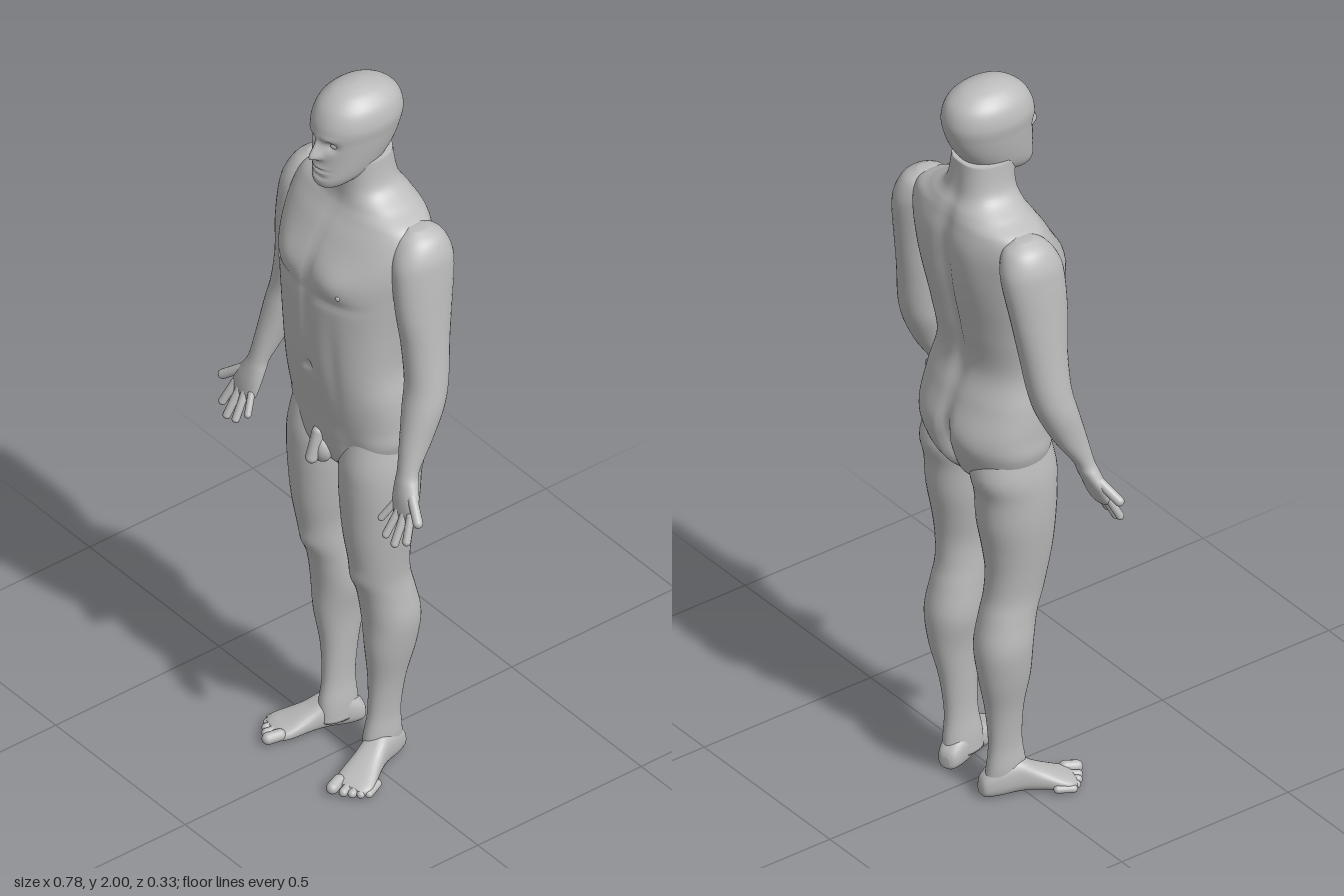
import * as THREE from 'three';

const skin = new THREE.MeshStandardMaterial({ color: 0xbcbcbc });
skin.name = 'plain grey';

const bump = (v, centre, width) => Math.exp(-(((v - centre) / width) ** 2));

function cubic(a, b, c, d, t) {
  return b + 0.5 * t * (c - a + t * (2 * a - 5 * b + 4 * c - d + t * (3 * (b - c) + d - a)));
}

// Skin a closed body over horizontal rings. Row: [y, centreX, halfWidth, zFront, zBack], rising in y.
function loft(rows, { side = 1, seg = 40, steps = 5, power = 0.95, shape = null } = {}) {
  const pos = [], index = [], last = rows.length - 1;
  const row = (i) => rows[Math.min(Math.max(i, 0), last)];
  const rings = last * steps + 1;
  const round = (v) => Math.sign(v) * Math.abs(v) ** power;
  let first, end;
  for (let r = 0; r < rings; r++) {
    const i = Math.min(Math.floor(r / steps), last - 1), t = r / steps - i;
    const [y, cx, rx, zf, zb] = row(i).map((v, k) => cubic(row(i - 1)[k], v, row(i + 1)[k], row(i + 2)[k], t));
    const cz = (zf + zb) / 2, rz = (zf - zb) / 2;
    if (r === 0) first = [cx * side, y, cz];
    end = [cx * side, y, cz];
    for (let j = 0; j < seg; j++) {
      const a = (j / seg) * Math.PI * 2, c = Math.cos(a), s = Math.sin(a);
      const x = cx * side + rx * round(c);
      const z = cz + rz * round(s);
      pos.push(x, y, z + (shape ? shape(x, y, s) : 0));
      if (r < rings - 1) {
        const p = r * seg + j, q = r * seg + ((j + 1) % seg);
        index.push(p, p + seg, q, q, p + seg, q + seg);
      }
    }
  }
  const n = rings * seg;
  pos.push(...first, ...end);
  for (let j = 0; j < seg; j++) {
    const k = (j + 1) % seg;
    index.push(n, j, k, n + 1, n - seg + k, n - seg + j);
  }
  const g = new THREE.BufferGeometry();
  g.setAttribute('position', new THREE.Float32BufferAttribute(pos, 3));
  g.setIndex(index);
  g.computeVertexNormals();
  return g;
}

function add(parent, name, geometry) {
  const m = new THREE.Mesh(geometry, skin);
  m.name = name;
  parent.add(m);
  return m;
}

// Rounded rod whose ends reach the two points
function digit(parent, name, from, to, r) {
  const a = new THREE.Vector3(...from), b = new THREE.Vector3(...to), d = b.clone().sub(a);
  const m = add(parent, name, new THREE.CapsuleGeometry(r, Math.max(d.length() - 2 * r, 0.001), 6, 14));
  m.position.copy(a).lerp(b, 0.5);
  m.quaternion.setFromUnitVectors(new THREE.Vector3(0, 1, 0), d.normalize());
  return m;
}

function ellipsoid(parent, name, p, s) {
  const m = add(parent, name, new THREE.SphereGeometry(1, 24, 16));
  m.position.set(...p);
  m.scale.set(...s);
  return m;
}

// Muscle relief of the trunk
function torsoRelief(x, y, s) {
  const ax = Math.abs(x);
  if (s > 0) {
    return s * (0.014 * bump(ax, 0.09, 0.065) * bump(y, 1.5, 0.045)
      - 0.006 * bump(y, 1.445, 0.014) * bump(ax, 0.09, 0.07)
      - 0.007 * bump(x, 0, 0.014) * bump(y, 1.42, 0.17)
      - 0.012 * bump(x, 0, 0.012) * bump(y, 1.21, 0.012)
      - 0.005 * bump(ax, 0.085, 0.02) * bump(y, 1.25, 0.12)
      - 0.008 * bump(ax, 0.11, 0.04) * bump(y, 1.0, 0.05));
  }
  return -s * (0.018 * bump(x, 0, 0.024) * bump(y, 1.42, 0.24)
    + 0.04 * bump(x, 0, 0.016) * bump(y, 0.99, 0.08)
    - 0.006 * bump(ax, 0.085, 0.05) * bump(y, 1.03, 0.06)
    - 0.006 * bump(ax, 0.1, 0.05) * bump(y, 1.56, 0.09));
}

// Brow, eye sockets, nose, lips and chin
function faceRelief(x, y, s) {
  if (s <= 0) return 0;
  const ax = Math.abs(x);
  const nose = y > 1.832 ? bump(y, 1.832, 0.036) : bump(y, 1.832, 0.009);
  return 0.028 * nose * bump(x, 0, 0.008 + 0.006 * bump(y, 1.832, 0.015))
    - 0.016 * bump(ax, 0.031, 0.017) * bump(y, 1.867, 0.014)
    + 0.004 * bump(y, 1.89, 0.01) * bump(ax, 0.03, 0.025)
    + 0.006 * bump(y, 1.793, 0.012) * bump(x, 0, 0.025)
    - 0.008 * bump(y, 1.793, 0.003) * bump(x, 0, 0.026)
    - 0.005 * bump(y, 1.773, 0.007) * bump(x, 0, 0.025);
}

function buildArm(parent, side) {
  const arm = new THREE.Group();
  arm.name = side > 0 ? 'leftArm' : 'rightArm';
  parent.add(arm);
  // Shoulder, upper arm, forearm and palm
  add(arm, 'armAndPalm', loft([
    [0.912, 0.308, 0.032, 0.088, 0.068], [0.93, 0.308, 0.042, 0.09, 0.058], [0.965, 0.304, 0.043, 0.086, 0.044],
    [1.0, 0.294, 0.034, 0.078, 0.03], [1.03, 0.287, 0.028, 0.07, 0.018], [1.1, 0.277, 0.036, 0.055, -0.03],
    [1.18, 0.266, 0.049, 0.035, -0.07], [1.25, 0.257, 0.051, 0.02, -0.09], [1.35, 0.243, 0.052, 0.02, -0.105],
    [1.45, 0.232, 0.053, 0.03, -0.122], [1.55, 0.219, 0.057, 0.03, -0.138], [1.6, 0.21, 0.058, 0.02, -0.136],
    [1.64, 0.2, 0.047, -0.005, -0.118], [1.66, 0.195, 0.018, -0.035, -0.085],
  ], { side, seg: 32 }));
  const hand = [
    ['thumb', 0.318, 0.985, 0.06, 0.386, 0.932, 0.09, 0.0125], ['indexFinger', 0.336, 0.945, 0.074, 0.358, 0.87, 0.108, 0.0105],
    ['middleFinger', 0.317, 0.94, 0.076, 0.325, 0.852, 0.12, 0.0105], ['ringFinger', 0.298, 0.94, 0.076, 0.289, 0.86, 0.12, 0.01],
    ['littleFinger', 0.279, 0.945, 0.074, 0.255, 0.888, 0.108, 0.009],
  ];
  for (const [name, x, y, z, tx, ty, tz, r] of hand) digit(arm, name, [x * side, y, z], [tx * side, ty, tz], r);
}

function buildLeg(parent, side) {
  const leg = new THREE.Group();
  leg.name = side > 0 ? 'leftLeg' : 'rightLeg';
  parent.add(leg);
  // Thigh, knee, calf and ankle
  add(leg, 'thighAndCalf', loft([
    [0.03, 0.082, 0.03, 0.02, -0.095], [0.08, 0.086, 0.033, 0.018, -0.09], [0.15, 0.088, 0.03, 0.006, -0.085],
    [0.25, 0.092, 0.038, 0.006, -0.096], [0.35, 0.099, 0.053, 0.018, -0.118], [0.44, 0.098, 0.067, 0.022, -0.127],
    [0.52, 0.096, 0.064, 0.035, -0.112], [0.58, 0.096, 0.062, 0.054, -0.098], [0.65, 0.1, 0.066, 0.068, -0.095],
    [0.72, 0.1, 0.076, 0.079, -0.103], [0.8, 0.1, 0.086, 0.085, -0.117], [0.88, 0.1, 0.09, 0.088, -0.122],
    [0.95, 0.1, 0.088, 0.085, -0.135], [1.05, 0.1, 0.07, 0.06, -0.1],
  ], { side, shape: (x, y, s) => (s > 0 ? s * 0.007 * bump(y, 0.59, 0.025) * bump(Math.abs(x), 0.096, 0.03) : 0) }));

  // Foot, toes turned outward
  const foot = new THREE.Group();
  foot.name = 'foot';
  foot.position.set(0.085 * side, 0, -0.05);
  foot.rotation.y = 0.3 * side;
  leg.add(foot);
  const sole = loft([
    [-0.055, 0, 0.012, -0.012, -0.04], [-0.045, 0, 0.026, -0.003, -0.06], [-0.01, 0, 0.034, 0, -0.09],
    [0.04, 0.002, 0.034, -0.003, -0.094], [0.09, 0.006, 0.04, -0.003, -0.066], [0.14, 0.012, 0.05, 0, -0.042],
    [0.165, 0.014, 0.049, 0, -0.032], [0.18, 0.011, 0.04, -0.003, -0.024],
  ], { side, seg: 28, power: 0.8 });
  add(foot, 'footBody', sole.rotateX(Math.PI / 2));
  const toes = [[-0.023, 0.216, 0.0155], [0.005, 0.206, 0.0115], [0.025, 0.198, 0.011], [0.043, 0.187, 0.0105], [0.058, 0.174, 0.01]];
  for (const [x, tip, r] of toes) digit(foot, 'toe', [x * side, r + 0.008, tip - 0.06], [(x + 0.003) * side, r, tip], r);
}

export function createModel() {
  const body = new THREE.Group();
  body.name = 'anatomyFigure';

  // Pelvis, trunk, shoulders and neck
  add(body, 'torso', loft([
    [0.88, 0, 0.07, 0.04, -0.07], [0.93, 0, 0.15, 0.078, -0.125], [1.0, 0, 0.186, 0.095, -0.153],
    [1.06, 0, 0.188, 0.103, -0.16], [1.14, 0, 0.185, 0.116, -0.137], [1.23, 0, 0.175, 0.128, -0.112],
    [1.34, 0, 0.183, 0.134, -0.13], [1.45, 0, 0.198, 0.134, -0.153], [1.53, 0, 0.21, 0.119, -0.162],
    [1.6, 0, 0.214, 0.083, -0.163], [1.65, 0, 0.198, 0.05, -0.153], [1.68, 0, 0.14, 0.036, -0.143],
    [1.72, 0, 0.086, 0.032, -0.124], [1.8, 0, 0.072, 0.035, -0.112],
  ], { seg: 112, steps: 9, power: 0.88, shape: torsoRelief }));

  // Head
  add(body, 'head', loft([
    [1.736, 0, 0.026, 0.085, 0.02], [1.745, 0, 0.04, 0.096, -0.01], [1.765, 0, 0.056, 0.1, -0.06],
    [1.79, 0, 0.067, 0.096, -0.092], [1.83, 0, 0.077, 0.094, -0.122], [1.875, 0, 0.085, 0.095, -0.141],
    [1.915, 0, 0.09, 0.094, -0.147], [1.955, 0, 0.08, 0.076, -0.134], [1.982, 0, 0.056, 0.046, -0.102],
    [1.995, 0, 0.03, 0.014, -0.064], [2.0, 0, 0.006, -0.015, -0.03],
  ], { seg: 128, steps: 9, shape: faceRelief }));

  for (const side of [1, -1]) {
    ellipsoid(body, 'eye', [0.031 * side, 1.867, 0.064], [0.014, 0.011, 0.013]);
    ellipsoid(body, 'nipple', [0.11 * side, 1.475, 0.121], [0.007, 0.007, 0.005]);
    buildArm(body, side);
    buildLeg(body, side);
  }

  // Simplified groin forms
  ellipsoid(body, 'groinLower', [0, 0.945, 0.083], [0.034, 0.04, 0.026]);
  digit(body, 'groinFront', [0, 1.01, 0.088], [0, 0.912, 0.117], 0.016);

  return body;
}
